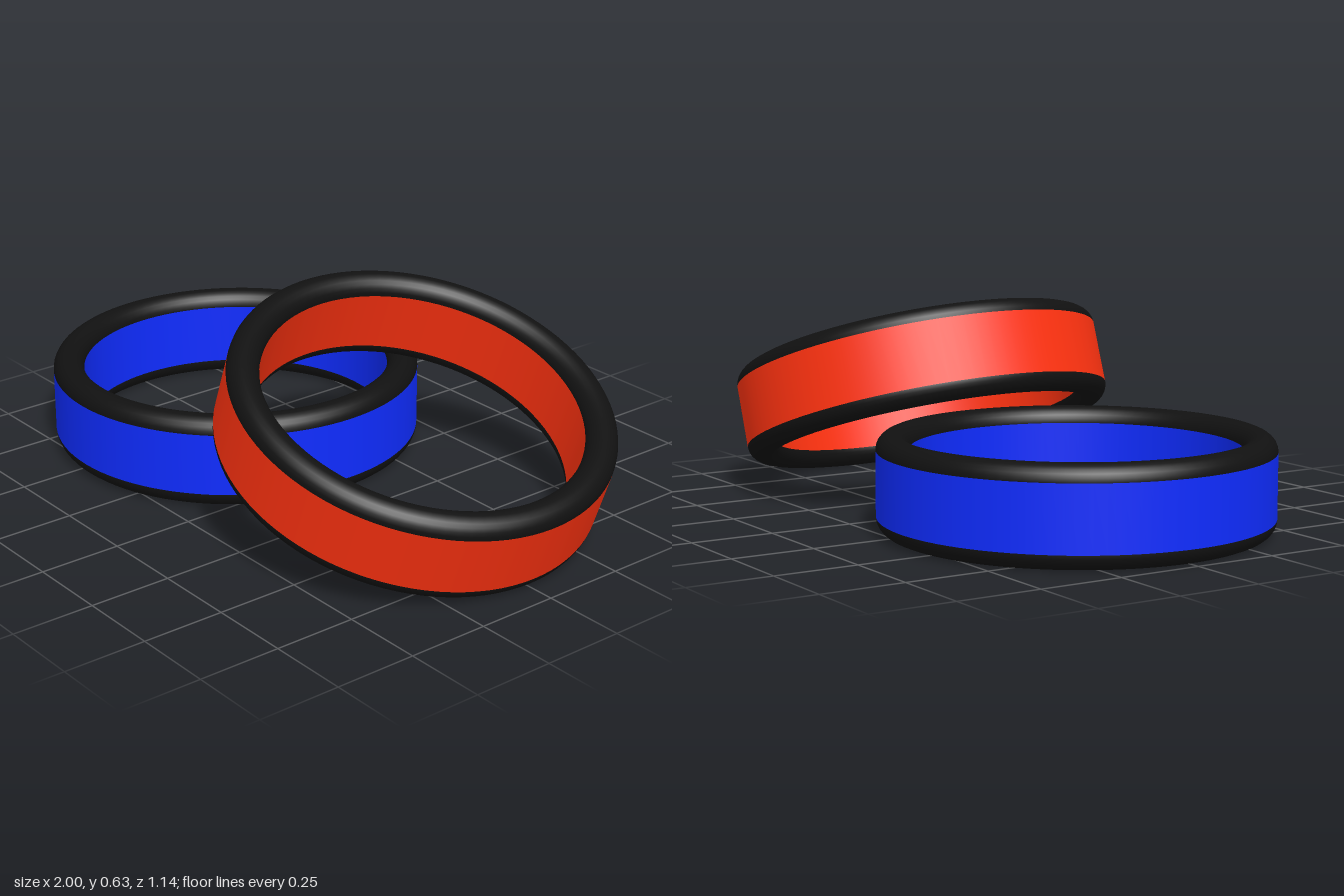
import * as THREE from 'three';

const MID = 0.523;   // radius of the wall's centre line
const HALF = 0.0475; // half the wall thickness, also the rim radius
const RISE = 0.0955; // height of each rim's centre above the ring's middle
const SEGMENTS = 96;

const rimMaterial = new THREE.MeshStandardMaterial({ color: 0x111111 });

// One ring: a coloured band with a rounded dark rim on its top and bottom
function makeRing(name, color) {
  const ring = new THREE.Group();
  ring.name = name;
  const bandMaterial = new THREE.MeshStandardMaterial({ color });

  // Wall profiles: upward faces out, downward faces in
  const wall = (label, radius, direction) => {
    const profile = [-RISE, RISE].map((y) => new THREE.Vector2(radius, y * direction));
    const mesh = new THREE.Mesh(new THREE.LatheGeometry(profile, SEGMENTS), bandMaterial);
    mesh.name = label;
    ring.add(mesh);
  };
  wall('outerBand', MID + HALF, 1);
  wall('innerBand', MID - HALF, -1);

  // Rounded rims
  for (const side of [-1, 1]) {
    const geometry = new THREE.TorusGeometry(MID, HALF, 24, SEGMENTS);
    geometry.rotateX(Math.PI / 2);
    const rim = new THREE.Mesh(geometry, rimMaterial);
    rim.name = side > 0 ? 'topRim' : 'bottomRim';
    rim.position.y = side * RISE;
    ring.add(rim);
  }
  return ring;
}

export function createModel() {
  const model = new THREE.Group();
  model.name = 'ringPair';

  // Ring lying flat
  const flatRing = makeRing('flatRing', 0x0f2cff);
  flatRing.position.set(-0.43, RISE + HALF, 0);

  // Ring leaning on the flat one
  const leaningRing = makeRing('leaningRing', 0xff3210);
  leaningRing.position.set(0.428, 0.316, 0);
  leaningRing.rotation.z = -THREE.MathUtils.degToRad(20);

  model.add(flatRing, leaningRing);
  return model;
}
